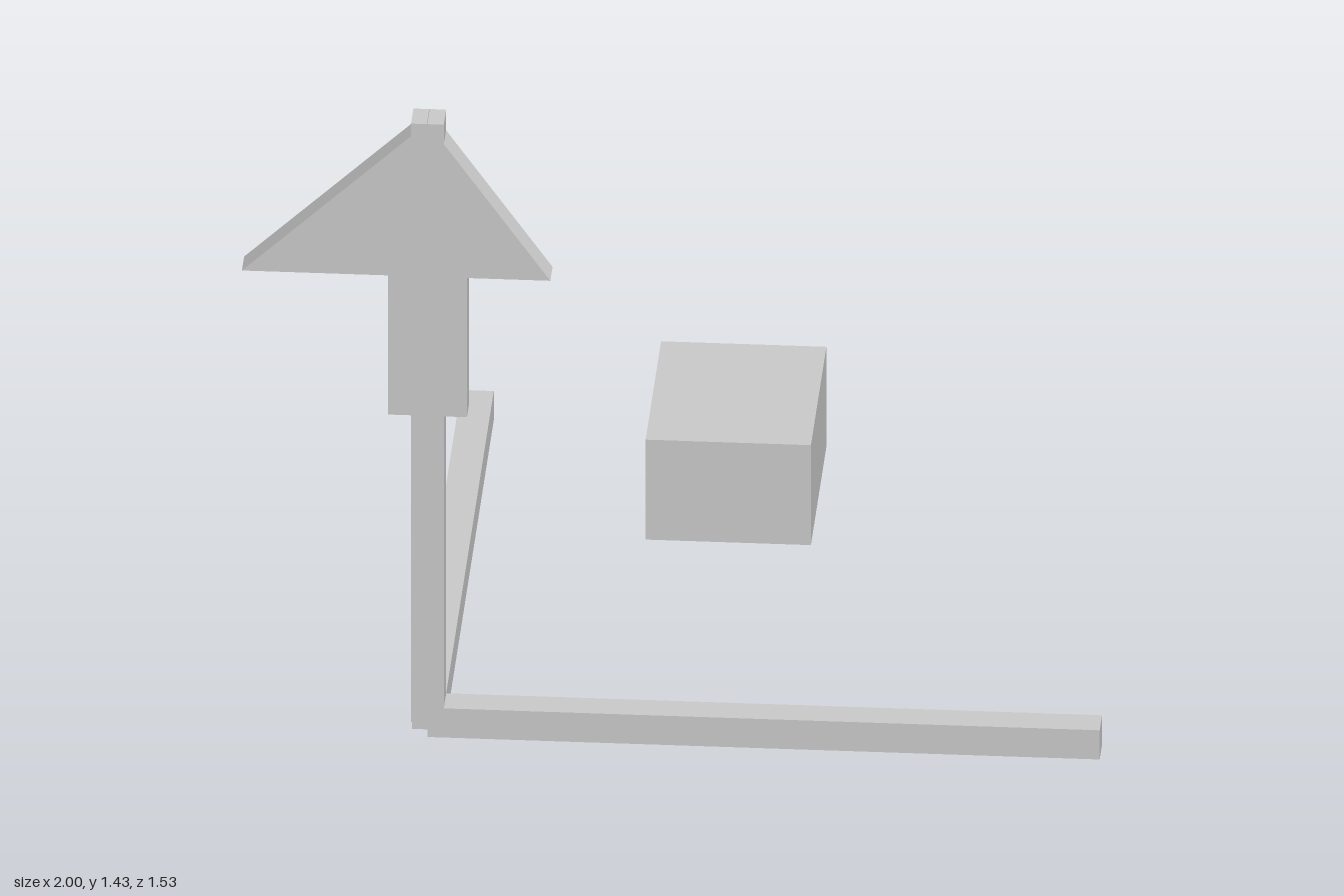
import * as THREE from 'three';

export function createModel() {
  const model = new THREE.Group();
  const lightGrey = new THREE.MeshStandardMaterial({ color: 0xcccccc });
  lightGrey.name = 'lightGrey';

  // Shared turned frame: the post stands at its origin
  const frame = new THREE.Group();
  frame.name = 'frame';
  frame.position.set(-0.137, 0, 0.51);
  frame.rotation.y = Math.atan2(0.6, 0.8);
  model.add(frame);

  const add = (parent, name, geometry, x, y, z) => {
    const mesh = new THREE.Mesh(geometry, lightGrey);
    mesh.name = name;
    mesh.position.set(x, y, z);
    parent.add(mesh);
    return mesh;
  };

  // Three equal square bars meeting at one corner
  const W = 0.068, L = 1.395, H = W / 2;
  add(frame, 'rightBar', new THREE.BoxGeometry(L, W, W), L / 2, H, 0);
  add(frame, 'backBar', new THREE.BoxGeometry(W, W, L), 0, H, -L / 2);
  add(frame, 'post', new THREE.BoxGeometry(W, L, W), 0, H + L / 2, 0);

  // Flat arrow on the post: block stem and lopsided triangular head
  const T = 0.063;
  add(frame, 'arrowStem', new THREE.BoxGeometry(0.164, 0.325, T), 0, 0.91, 0);
  const head = new THREE.Shape([
    new THREE.Vector2(-0.385, 1.072),
    new THREE.Vector2(0.255, 1.072),
    new THREE.Vector2(0, 1.43),
  ]);
  add(frame, 'arrowHead',
    new THREE.ExtrudeGeometry(head, { depth: T, bevelEnabled: false }), 0, 0, -T / 2);

  // Floating block, aligned with the bars
  const block = add(model, 'floatingBlock',
    new THREE.BoxGeometry(0.343, 0.233, 0.443), -0.162, 0.268, -0.488);
  block.rotation.y = frame.rotation.y;

  return model;
}
